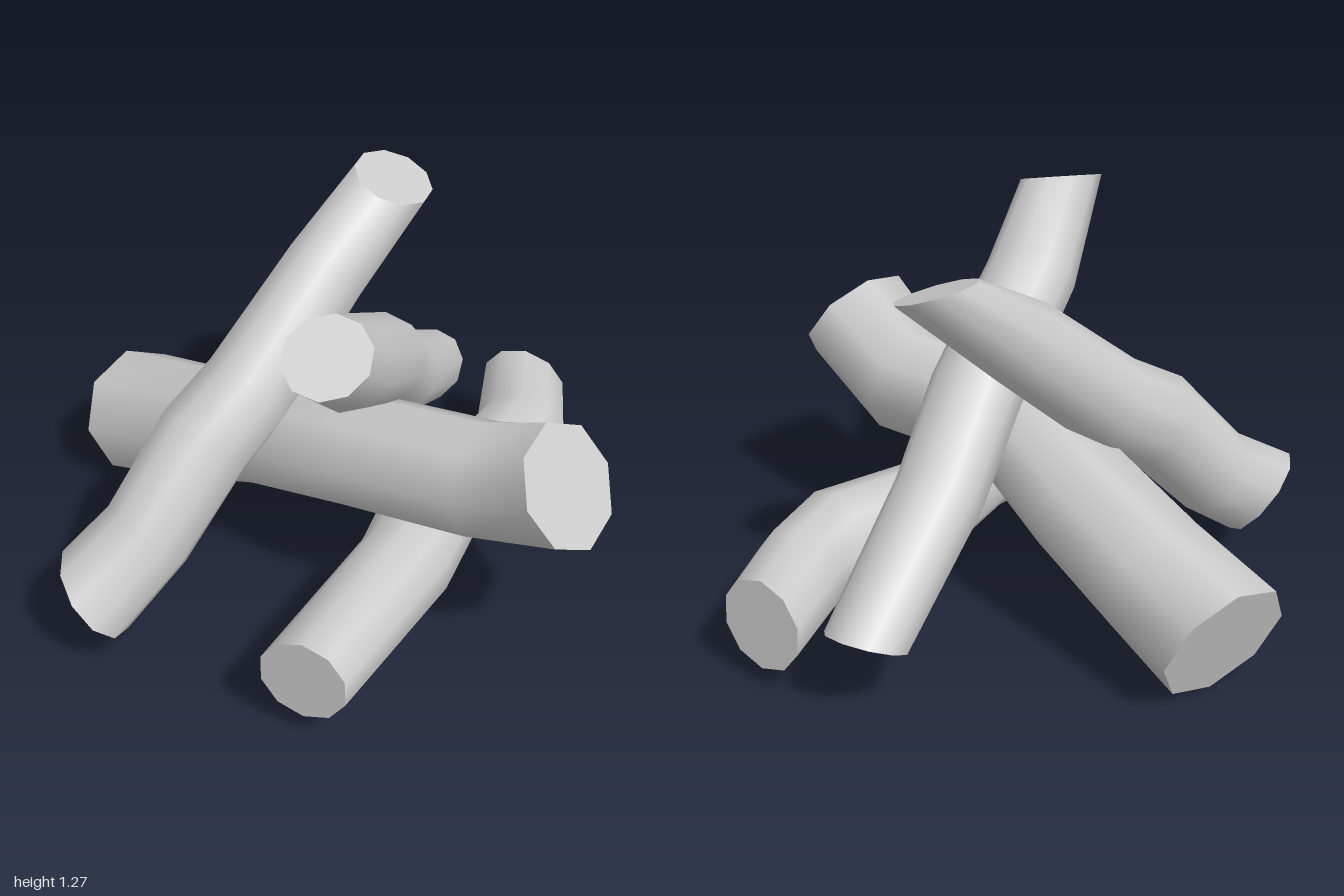
import * as THREE from 'three';

const V = (a) => new THREE.Vector3(a[0], a[1], a[2]);

// A bent log: stations are [x, y, z, radius]; cutA and cutB are the normals of the sawn ends.
// An optional fifth value on the last station makes its slanted end rounder.
function makeLog(name, stations, sides, phase, cutA, cutB, material) {
  const centres = stations.map(V);
  const last = stations.length - 1;
  const positions = [];
  const index = [];

  stations.forEach(([, , , radius, roundness = 0], i) => {
    const before = centres[Math.max(i - 1, 0)];
    const after = centres[Math.min(i + 1, last)];
    const d = new THREE.Vector3();
    if (i > 0) d.add(centres[i].clone().sub(before).normalize());
    if (i < last) d.add(after.clone().sub(centres[i]).normalize());
    d.normalize();
    const u = new THREE.Vector3(0, 1, 0).addScaledVector(d, -d.y).normalize();
    const v = d.clone().cross(u);
    const cut = i === 0 ? V(cutA).normalize() : i === last ? V(cutB).normalize() : d;
    const slide = d.clone().addScaledVector(cut, roundness);
    for (let j = 0; j < sides; j++) {
      const a = ((j + phase) / sides) * Math.PI * 2;
      const p = u.clone().multiplyScalar(Math.cos(a) * radius).addScaledVector(v, Math.sin(a) * radius);
      // slide onto the plane of the cut
      p.addScaledVector(slide, -p.dot(cut) / slide.dot(cut)).add(centres[i]);
      positions.push(p.x, p.y, p.z);
    }
  });

  // bark
  for (let i = 0; i < last; i++) {
    for (let j = 0; j < sides; j++) {
      const k = (j + 1) % sides;
      const a = i * sides + j, b = i * sides + k;
      index.push(a, b, a + sides, b, b + sides, a + sides);
    }
  }

  // flat sawn ends with their own corners
  [0, last].forEach((i) => {
    const start = positions.length / 3;
    positions.push(...positions.slice(i * sides * 3, (i + 1) * sides * 3));
    for (let j = 1; j < sides - 1; j++) {
      if (i === 0) index.push(start, start + j + 1, start + j);
      else index.push(start, start + j, start + j + 1);
    }
  });

  const geometry = new THREE.BufferGeometry();
  geometry.setAttribute('position', new THREE.Float32BufferAttribute(positions, 3));
  geometry.setIndex(index);
  geometry.computeVertexNormals();
  const mesh = new THREE.Mesh(geometry, material);
  mesh.name = name;
  return mesh;
}

export function createModel() {
  const group = new THREE.Group();
  group.name = 'logPile';
  const wood = new THREE.MeshStandardMaterial({ color: 0xcccccc });

  group.add(
    // lying across the front
    makeLog('frontLog', [
      [-0.7, 0.225, 0.535, 0.144],
      [-0.12, 0.243, 0.39, 0.154],
      [0.18, 0.245, 0.245, 0.164],
      [0.52, 0.235, 0.238, 0.176],
      [0.7, 0.222, 0.16, 0.158],
      [0.945, 0.213, -0.035, 0.147],
    ], 10, 0, [-0.93, 0, 0.36], [0.94, 0.1, -0.33], wood),

    // thick log running from back to front
    makeLog('thickLog', [
      [-0.16, 0.207, -0.89, 0.222],
      [-0.13, 0.3, -0.58, 0.208],
      [-0.09, 0.43, -0.24, 0.2],
      [-0.085, 0.558, 0.17, 0.187],
      [0.06, 0.57, 0.54, 0.19],
      [0.08, 0.705, 0.855, 0.202, 1.5],
    ], 8, 0.85, [0, -0.33, -0.95], [0.14, 0.66, 1], wood),

    // leaning log, top at the front right
    makeLog('leaningLogFront', [
      [0.75, 0.24, -0.33, 0.128],
      [0.345, 0.515, -0.105, 0.144],
      [0.11, 0.75, 0.04, 0.15],
      [-0.237, 0.995, 0.24, 0.148],
      [-0.485, 1.223, 0.425, 0.127],
    ], 10, 0, [0.45, -0.85, -0.2], [-0.15, 1, 0.34], wood),

    // leaning log, top at the back left
    makeLog('leaningLogBack', [
      [-0.868, 0.2, -0.237, 0.161],
      [-0.67, 0.33, -0.21, 0.153],
      [-0.43, 0.59, -0.19, 0.16],
      [-0.25, 0.7, -0.185, 0.154],
      [0.09, 0.993, -0.18, 0.14],
      [0.38, 1.22, -0.167, 0.132, 1],
    ], 10, 0, [-0.55, -0.6, -0.5], [0.1, 1, 0.36], wood),
  );
  return group;
}
